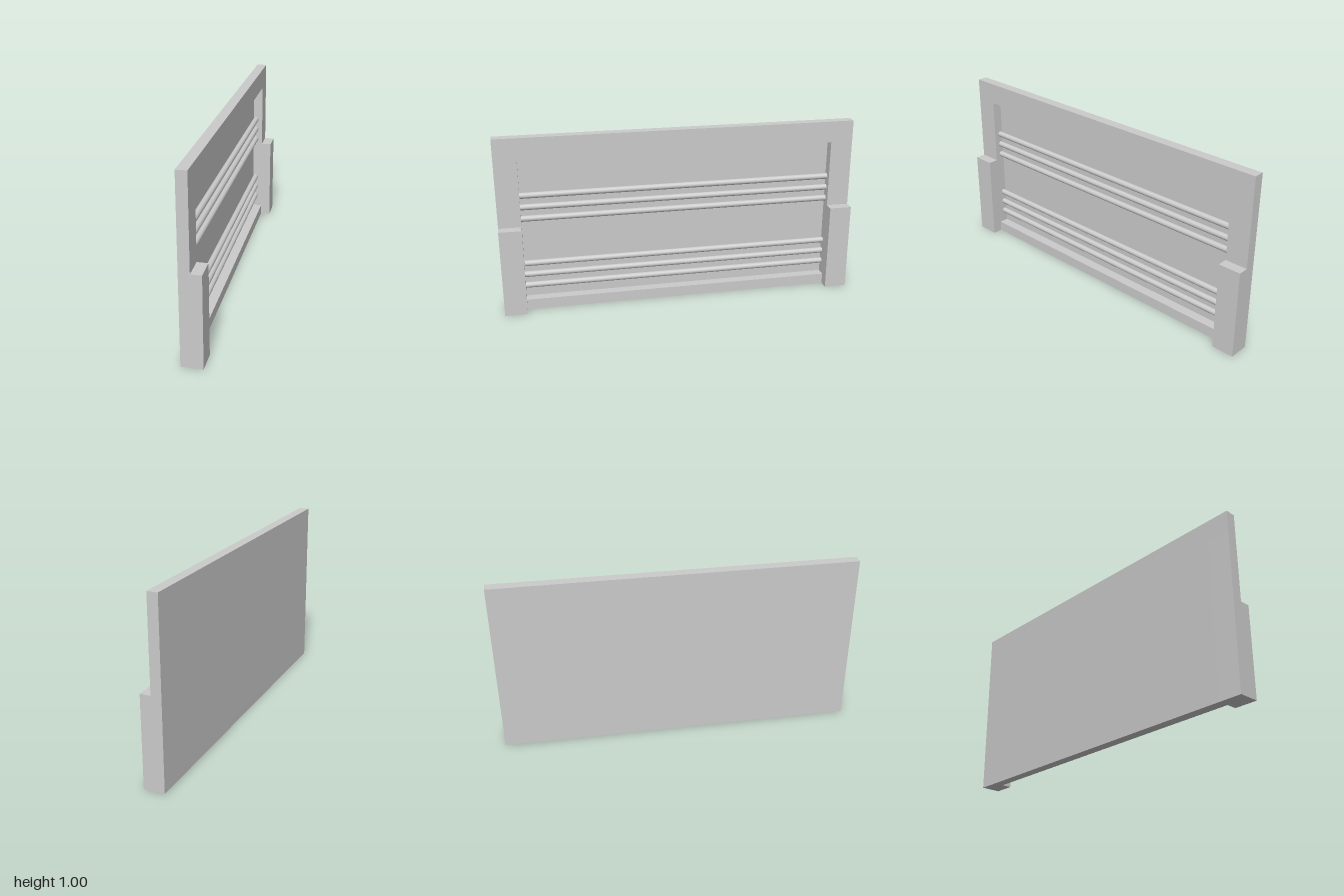
import * as THREE from 'three';

export function createModel() {
  const group = new THREE.Group();
  const material = new THREE.MeshStandardMaterial({ color: 0xcccccc });
  const back = -0.057, face = 0, front = 0.057;
  const stile = 0.125, rodRadius = 0.0165;

  // Box given by its minimum and maximum corners
  function addBox(name, [x0, y0, z0], [x1, y1, z1]) {
    const mesh = new THREE.Mesh(new THREE.BoxGeometry(x1 - x0, y1 - y0, z1 - z0), material);
    mesh.name = name;
    mesh.position.set((x0 + x1) / 2, (y0 + y1) / 2, (z0 + z1) / 2);
    group.add(mesh);
  }

  // Thin back panel and horizontal rails
  const inner = 1 - stile;
  addBox('backPanel', [back, 0.06, -inner], [back + 0.002, 0.88, inner]);
  addBox('topRail', [back, 0.88, -1], [face, 1, 1]);
  addBox('bottomRail', [back, 0, -inner], [face, 0.06, inner]);

  // Upright stiles, each with a half-height post on its face
  for (const [side, z0, z1] of [['front', inner, 1], ['back', -1, -inner]]) {
    addBox(side + 'Stile', [back, 0, z0], [face, 0.88, z1]);
    addBox(side + 'Post', [face, 0, z0], [front, 0.5, z1]);
  }

  // Two sets of three rods lying against the panel
  const rodGeometry = new THREE.CylinderGeometry(rodRadius, rodRadius, 2, 20).rotateX(Math.PI / 2);
  for (const [set, middle] of [['lower', 0.2], ['upper', 0.6]]) {
    for (let i = -1; i <= 1; i++) {
      const rod = new THREE.Mesh(rodGeometry, material);
      rod.name = set + 'Rod' + (i + 2);
      rod.position.set(back + rodRadius, middle + i * 0.0667, 0);
      group.add(rod);
    }
  }
  return group;
}
